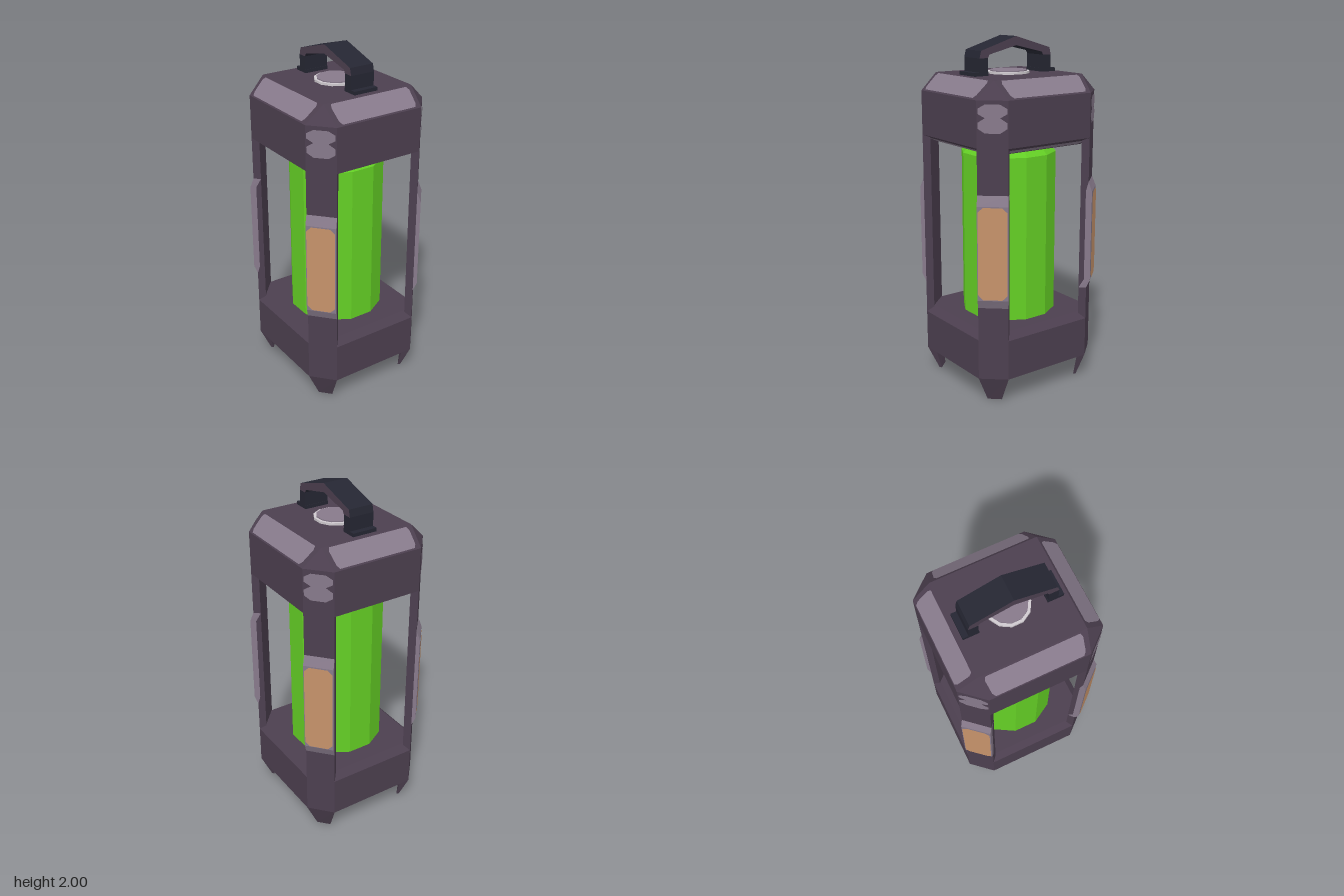
import * as THREE from 'three';

const mat = (name, color) => {
  const m = new THREE.MeshStandardMaterial({ color });
  m.name = name;
  return m;
};

// flat-faced geometry from a list of triangles
function facets(tris) {
  const g = new THREE.BufferGeometry().setFromPoints(tris);
  g.computeVertexNormals();
  return g;
}

// closed solid through rings of points; each ring runs anticlockwise seen from above
function loft(rings) {
  const t = [], n = rings[0].length, last = rings[rings.length - 1];
  for (let r = 0; r < rings.length - 1; r++) {
    const lo = rings[r], hi = rings[r + 1];
    for (let i = 0; i < n; i++) {
      const j = (i + 1) % n;
      t.push(lo[i], lo[j], hi[j], lo[i], hi[j], hi[i]);
    }
  }
  for (let i = 1; i < n - 1; i++) {
    t.push(rings[0][0], rings[0][i + 1], rings[0][i]);
    t.push(last[0], last[i], last[i + 1]);
  }
  return facets(t);
}

// thin plate with cut corners lying just above the quad a, b, c, d
function plate([a, b, c, d], mu, mv, cu, cv) {
  const normal = b.clone().sub(a).cross(d.clone().sub(a)).normalize().multiplyScalar(0.004);
  const at = (u, v) => a.clone().lerp(b, u).lerp(d.clone().lerp(c, u), v).add(normal);
  const U = 1 - mu, V = 1 - mv;
  const p = [[mu + cu, mv], [U - cu, mv], [U, mv + cv], [U, V - cv],
    [U - cu, V], [mu + cu, V], [mu, V - cv], [mu, mv + cv]].map(([u, v]) => at(u, v));
  const t = [];
  for (let i = 1; i < 7; i++) t.push(p[0], p[i], p[i + 1]);
  return facets(t);
}

// ring around the body: half sizes hx, hz and where the corner cuts begin (cx, cz)
const ring = (y, hx, hz, cx = hx, cz = hz) => [[-cx, hz], [cx, hz], [hx, cz], [hx, -cz],
  [cx, -hz], [-cx, -hz], [-hx, -cz], [-hx, cz]].map(([x, z]) => new THREE.Vector3(x, y, z));
const fullRing = (y) => ring(y, 0.38, 0.405, 0.27, 0.28);

export function createModel() {
  const body = mat('dark plum casing', 0x4c3f4f);
  const worn = mat('pale worn metal', 0x877a8b);
  const green = mat('glowing green', 0x64cf25);
  const copper = mat('copper grip', 0xc6926a);
  const navy = mat('handle navy', 0x252632);
  const pale = mat('pale ring', 0xcfcacf);
  const khaki = mat('khaki plug', 0x949078);

  const model = new THREE.Group();
  const add = (name, geometry, material, x = 0, y = 0, z = 0) => {
    const m = new THREE.Mesh(geometry, material);
    m.name = name;
    m.position.set(x, y, z);
    model.add(m);
    return m;
  };
  // worn strips on the four main sides between two rings
  const strips = (name, lo, hi, mv) => {
    for (let i = 0; i < 8; i += 2) {
      add(name, plate([lo[i], lo[i + 1], hi[i + 1], hi[i]], 0.05, mv, 0.02, 0.15), worn);
    }
  };

  // cap, bevelled above and below
  const capRings = [ring(1.4, 0.28, 0.3), fullRing(1.45), fullRing(1.7), ring(1.795, 0.28, 0.3)];
  add('cap', loft(capRings), body);
  strips('capTopStrip', capRings[2], capRings[3], 0.06);
  strips('capUnderStrip', capRings[0], capRings[1], 0.25);

  // base with a shallow pocket underneath
  const baseRings = [ring(0.14, 0.23, 0.25), ring(0.1, 0.23, 0.25), ring(0.1, 0.28, 0.3),
    fullRing(0.15), fullRing(0.38), ring(0.42, 0.34, 0.365, 0.25, 0.26)];
  add('base', loft(baseRings), body);
  strips('baseUnderStrip', baseRings[2], baseRings[3], 0.15);

  // glowing tube with a bevelled top
  const tube = new THREE.CylinderGeometry(0.272, 0.272, 0.96, 12, 1, true, Math.PI / 12).toNonIndexed();
  tube.computeVertexNormals();
  add('glowTube', tube, green, 0, 0.88);
  const tubeTop = new THREE.CylinderGeometry(0.235, 0.272, 0.04, 12, 1, false, Math.PI / 12).toNonIndexed();
  tubeTop.computeVertexNormals();
  add('glowTubeTop', tubeTop, green, 0, 1.38);

  // corner posts ending in tapered feet, with grip pads
  const foot = [[0.255, 0.335], [0.31, 0.275], [0.3, 0.265], [0.245, 0.325]];
  const post = [[0.27, 0.405], [0.38, 0.28], [0.348, 0.25], [0.24, 0.372]];
  const padOut = [[0.286, 0.42], [0.396, 0.293], [0.36, 0.262], [0.252, 0.384]];
  for (const sx of [1, -1]) {
    for (const sz of [1, -1]) {
      const flip = sx * sz < 0;
      const section = (pts, y) => {
        const r = pts.map(([x, z]) => new THREE.Vector3(x * sx, y, z * sz));
        return flip ? r.reverse() : r;
      };
      const face = (pts, y0, y1) => {
        const k = flip ? 2 : 0;
        const lo = section(pts, y0), hi = section(pts, y1);
        return [lo[k], lo[k + 1], hi[k + 1], hi[k]];
      };
      add('cornerPost', loft([section(foot, 0), section(post, 0.15), section(post, 1.7)]), body);
      add('gripPad', loft([section(post, 0.57), section(padOut, 0.62),
        section(padOut, 1.145), section(post, 1.2)]), worn);
      add('gripPatch', plate(face(padOut, 0.62, 1.145), 0.03, 0.01, 0.16, 0.05), copper);
      add('postWearLower', plate(face(post, 1.53, 1.61), 0.04, 0, 0.22, 0.3), worn);
      add('postWearUpper', plate(face(post, 1.61, 1.68), 0.04, 0, 0.22, 0.3), worn);
    }
  }

  // round buttons on the cap and under the base
  const disc = (r, h) => new THREE.CylinderGeometry(r, r, h, 12, 1, false, Math.PI / 12);
  add('topRing', disc(0.12, 0.016), pale, 0, 1.8);
  add('topButton', disc(0.105, 0.008), worn, 0, 1.81);
  add('bottomPlug', disc(0.12, 0.05), khaki, 0, 0.118);
  add('bottomPlugCentre', disc(0.065, 0.008), worn, 0, 0.091);

  // handle: arched grip on two short legs
  const arch = new THREE.Shape([[-0.245, 1.89], [-0.19, 1.89], [-0.18, 1.908], [0, 1.95],
    [0.18, 1.908], [0.19, 1.89], [0.245, 1.89], [0.235, 1.93], [0, 2], [-0.235, 1.93]]
    .map(([z, y]) => new THREE.Vector2(z, y)));
  const archGeo = new THREE.ExtrudeGeometry(arch, { depth: 0.146, bevelEnabled: false });
  archGeo.translate(0, 0, -0.073).rotateY(Math.PI / 2);
  add('handleArch', archGeo, [body, navy]);
  for (const s of [1, -1]) {
    add('handleLeg', new THREE.BoxGeometry(0.146, 0.1, 0.055), navy, 0, 1.84, s * 0.2175);
    add('handleFoot', new THREE.BoxGeometry(0.146, 0.025, 0.09), navy, 0, 1.802, s * 0.232);
  }
  return model;
}
